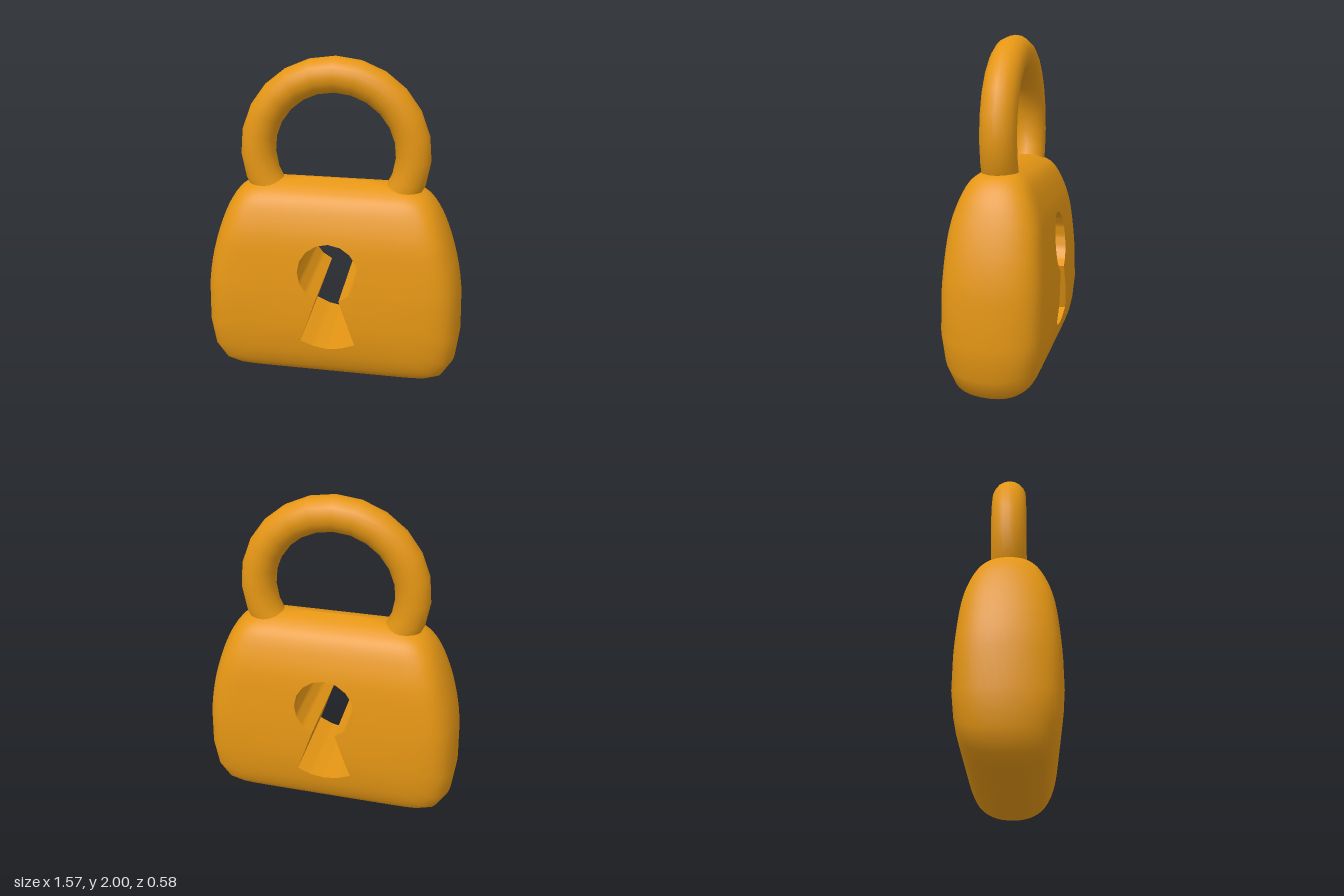
import * as THREE from 'three';
import { toCreasedNormals } from 'three/addons/utils/BufferGeometryUtils.js';

// Smooth lookup of a value by height, from [height, value] pairs
function byHeight(pairs) {
  const pts = new THREE.SplineCurve(pairs.map(p => new THREE.Vector2(...p))).getPoints(150);
  return y => {
    let i = 1;
    while (i < pts.length - 1 && pts[i].x < y) i++;
    const a = pts[i - 1], b = pts[i];
    const t = THREE.MathUtils.clamp((y - a.x) / (b.x - a.x || 1), 0, 1);
    return a.y + (b.y - a.y) * t;
  };
}

const BOTTOM = 0.004, TOP = 1.288;
const halfWidth = byHeight([[BOTTOM, 0.4], [0.012, 0.52], [0.03, 0.62], [0.06, 0.69], [0.12, 0.743],
  [0.21, 0.77], [0.33, 0.783], [0.46, 0.786], [0.6, 0.777], [0.75, 0.755], [0.9, 0.718],
  [1.05, 0.665], [1.14, 0.62], [1.21, 0.568], [1.245, 0.51], [1.27, 0.4], [TOP, 0.18]]);
const halfDepth = byHeight([[BOTTOM, 0], [0.012, 0.05], [0.03, 0.11], [0.09, 0.2], [0.2, 0.255],
  [0.34, 0.282], [0.48, 0.29], [0.7, 0.282], [0.95, 0.257], [1.1, 0.215], [1.2, 0.165],
  [1.25, 0.105], [1.275, 0.05], [TOP, 0]]);

// Half thickness of the body at a point of its front
function thickness(x, y) {
  const u = Math.min(1, Math.abs(x) / halfWidth(y));
  return Math.max(0, halfDepth(y)) * Math.sqrt(1 - u ** 12);
}

// Keyhole outline, counter-clockwise, with its edges subdivided
function keyholeOutline() {
  const corners = [], start = Math.atan2(-0.17, 0.07);
  for (let i = 0; i <= 14; i++) {
    const a = start + (Math.PI - 2 * start) * i / 14;
    corners.push([0.18 * Math.cos(a), 0.79 + 0.18 * Math.sin(a)]);
  }
  corners.push([-0.165, 0.335], [-0.085, 0.3], [0, 0.285], [0.085, 0.3], [0.165, 0.335]);
  const out = [];
  corners.forEach(([x, y], i) => {
    const [nx, ny] = corners[(i + 1) % corners.length];
    const n = Math.hypot(nx - x, ny - y) > 0.2 ? 12 : 4;
    for (let k = 0; k < n; k++) out.push(new THREE.Vector2(x + (nx - x) * k / n, y + (ny - y) * k / n));
  });
  return out;
}

// Body silhouette point on the ray through a keyhole point
const CENTRE = new THREE.Vector2(0, 0.625);
function silhouettePoint(p) {
  const dir = p.clone().sub(CENTRE).normalize();
  let lo = 0, hi = 2;
  for (let i = 0; i < 40; i++) {
    const r = (lo + hi) / 2, x = dir.x * r, y = CENTRE.y + dir.y * r;
    if (y > BOTTOM && y < TOP && Math.abs(x) < halfWidth(y)) lo = r; else hi = r;
  }
  return dir.multiplyScalar(lo).add(CENTRE);
}

// Surface joining closed loops of equal length
function loft(loops) {
  const n = loops[0].length, index = [];
  for (let j = 0; j < loops.length - 1; j++) {
    for (let i = 0; i < n; i++) {
      const a = j * n + i, b = j * n + (i + 1) % n;
      index.push(a, b, b + n, a, b + n, a + n);
    }
  }
  const geo = new THREE.BufferGeometry().setFromPoints(loops.flat());
  geo.setIndex(index);
  geo.computeVertexNormals();
  return geo;
}

export function createModel() {
  const group = new THREE.Group();
  group.name = 'padlock';
  const material = new THREE.MeshStandardMaterial({ color: 0xe59614 });
  const add = (name, geo) => {
    const mesh = new THREE.Mesh(geo, material);
    mesh.name = name;
    group.add(mesh);
    return mesh;
  };

  const keyhole = keyholeOutline();
  const rim = keyhole.map(silhouettePoint);

  // Cushion-shaped body: from the rear keyhole edge, round the rim, to the front keyhole edge
  const STEPS = 22, loops = [];
  for (let j = -STEPS; j <= STEPS; j++) {
    const spread = j === 0 ? 1 : Math.cos(j / STEPS * Math.PI / 2);
    loops.push(keyhole.map((k, i) => {
      const p = k.clone().lerp(rim[i], spread);
      return new THREE.Vector3(p.x, p.y, j === 0 ? 0 : Math.sign(j) * thickness(p.x, p.y));
    }));
  }
  add('body', loft(loops));

  // Inner wall of the keyhole, from front to back
  add('keyholeWall', toCreasedNormals(loft([loops[2 * STEPS], loops[0]]), 0.6));

  // Shackle: arc of round bar whose ends sink into the body
  const dip = 0.58;
  const shackle = add('shackle', new THREE.TorusGeometry(0.455, 0.102, 20, 16, Math.PI + 2 * dip));
  shackle.position.y = 1.445;
  shackle.rotation.z = -dip;

  return group;
}
